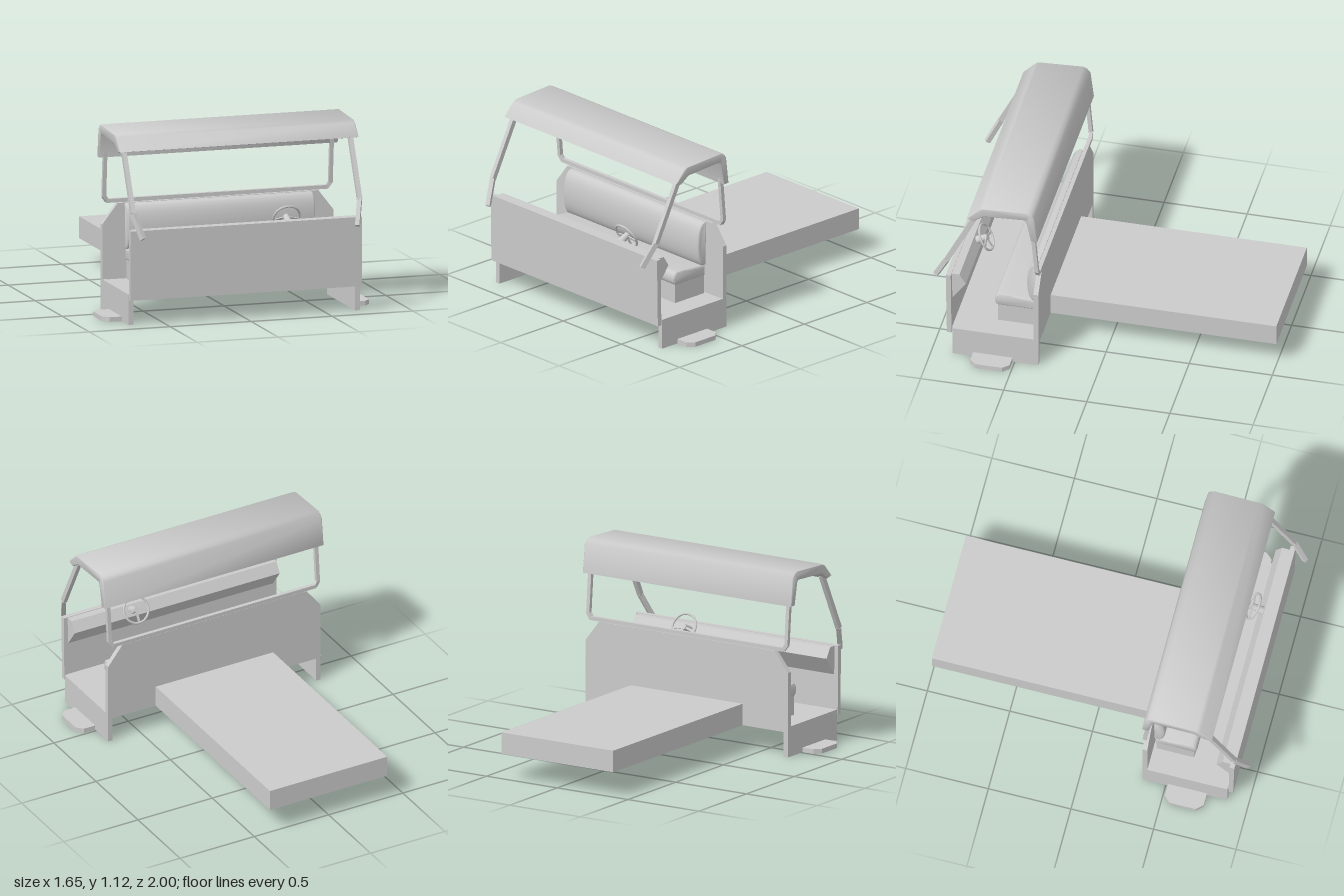
import * as THREE from 'three';
import { toCreasedNormals } from 'three/addons/utils/BufferGeometryUtils.js';

const grey = new THREE.MeshStandardMaterial({ color: 0xcccccc, side: THREE.DoubleSide });

export function createModel() {
  const model = new THREE.Group();

  const add = (name, geometry, parent = model) => {
    const mesh = new THREE.Mesh(geometry, grey);
    mesh.name = name;
    parent.add(mesh);
    return mesh;
  };

  // Box from its minimum and maximum corners
  const box = (name, [x0, y0, z0], [x1, y1, z1], parent) =>
    add(name, new THREE.BoxGeometry(x1 - x0, y1 - y0, z1 - z0), parent)
      .position.set((x0 + x1) / 2, (y0 + y1) / 2, (z0 + z1) / 2);

  const shapeOf = (points) => new THREE.Shape(points.map(([a, b]) => new THREE.Vector2(a, b)));

  // Side profile of [z, y] points, stretched across the width
  const across = (name, shape, halfWidth, bevel = 0, crease = 0.5) => {
    const depth = 2 * (halfWidth - bevel);
    const g = new THREE.ExtrudeGeometry(shape, {
      depth, curveSegments: 10, bevelEnabled: bevel > 0,
      bevelSize: bevel, bevelThickness: bevel, bevelOffset: -bevel, bevelSegments: 3,
    });
    g.translate(0, 0, -depth / 2).rotateY(-Math.PI / 2);
    return add(name, toCreasedNormals(g, crease));
  };

  // Square tube following a list of points
  const frame = (name, points, width, thickness) => {
    const group = new THREE.Group();
    group.name = name;
    model.add(group);
    for (let i = 0; i < points.length - 1; i++) {
      const a = new THREE.Vector3(...points[i]);
      const b = new THREE.Vector3(...points[i + 1]);
      const bar = add('tubeSection', new THREE.BoxGeometry(width, thickness, a.distanceTo(b) + 0.006), group);
      bar.position.copy(a).add(b).multiplyScalar(0.5);
      bar.lookAt(b);
    }
  };

  // Cargo bed, floor and front panel
  box('cargoBed', [-0.395, 0.15, -1], [0.395, 0.28, 0.36]);
  box('floor', [-0.7, 0.15, 0.36], [0.7, 0.18, 0.89]);
  across('frontPanel', shapeOf([[0.88, 0.15], [0.908, 0.15], [0.915, 0.565], [0.885, 0.565]]), 0.715);

  // Rear wall with cut upper corners
  const wall = new THREE.ExtrudeGeometry(shapeOf([
    [-0.715, 0.15], [0.715, 0.15], [0.715, 0.51], [0.62, 0.632], [-0.62, 0.632], [-0.715, 0.51],
  ]), { depth: 0.03, bevelEnabled: false });
  add('rearWall', wall.translate(0, 0, 0.358));

  // Dashboard
  across('dashboard', shapeOf([
    [0.885, 0.562], [0.838, 0.562], [0.8, 0.5], [0.88, 0.39],
  ]), 0.69);

  // Seat
  box('seatBase', [-0.57, 0.18, 0.405], [0.57, 0.3, 0.635]);
  const cushion = new THREE.Shape();
  cushion.moveTo(0.4, 0.295);
  cushion.lineTo(0.63, 0.295);
  cushion.bezierCurveTo(0.66, 0.295, 0.662, 0.372, 0.625, 0.374);
  cushion.bezierCurveTo(0.57, 0.376, 0.48, 0.368, 0.415, 0.362);
  cushion.quadraticCurveTo(0.4, 0.36, 0.4, 0.345);
  across('seatCushion', cushion, 0.58, 0.012, 0.8);
  const back = new THREE.Shape();
  back.moveTo(0.395, 0.36);
  back.lineTo(0.425, 0.36);
  back.bezierCurveTo(0.468, 0.39, 0.47, 0.56, 0.435, 0.61);
  back.quadraticCurveTo(0.42, 0.632, 0.39, 0.63);
  across('seatBack', back, 0.58, 0.01, 0.8);

  // Curved roof shell
  across('roof', shapeOf([
    [0.785, 1.015], [0.715, 1.09], [0.69, 1.103], [0.425, 1.116], [0.4, 1.105], [0.38, 1.08],
    [0.36, 0.912], [0.398, 0.912], [0.425, 1.045], [0.435, 1.06], [0.68, 1.046], [0.74, 1.005],
  ]), 0.738, 0.006, 0.9);

  // Rear roof frame: two posts joined by a low crossbar
  const half = [[0.7, 0.94, 0.393], [0.7, 0.675, 0.37], [0.68, 0.646, 0.367]];
  const mirrored = half.map(([x, y, z]) => [-x, y, z]).reverse();
  frame('rearFrame', [...half, ...mirrored], 0.023, 0.023);

  for (const [side, s] of [['left', 1], ['right', -1]]) {
    // Skirt below the floor
    const xs = [0.685 * s, 0.715 * s].sort((a, b) => a - b);
    box(side + 'Skirt', [xs[0], 0, 0.358], [xs[1], 0.182, 0.873]);

    // Step plate with cut corners
    const step = new THREE.ExtrudeGeometry(shapeOf([
      [0.7, -0.75], [0.79, -0.75], [0.826, -0.71], [0.826, -0.55], [0.79, -0.513], [0.7, -0.513],
    ].map(([x, y]) => [x * s, y])), { depth: 0.028, bevelEnabled: false });
    add(side + 'Step', step.rotateX(-Math.PI / 2));

    // Front roof post, bent inward at its foot
    frame(side + 'FrontPost', [
      [0.7 * s, 1.02, 0.735], [0.7 * s, 0.67, 0.911], [0.663 * s, 0.53, 0.983],
    ], 0.026, 0.03);
  }

  // Steering wheel: rim, hub, three spokes and a column
  const steering = new THREE.Group();
  steering.name = 'steeringWheel';
  steering.position.set(0.295, 0.562, 0.768);
  steering.rotation.x = Math.PI + 0.5;
  model.add(steering);
  add('rim', new THREE.TorusGeometry(0.08, 0.007, 8, 32), steering);
  add('hub', new THREE.CylinderGeometry(0.018, 0.018, 0.02, 16).rotateX(Math.PI / 2), steering);
  for (const angle of [0.25, Math.PI / 2, Math.PI - 0.25]) {
    const spoke = new THREE.BoxGeometry(0.07, 0.013, 0.007).translate(0.043, 0, 0);
    add('spoke', spoke.rotateZ(angle), steering);
  }
  const column = new THREE.CylinderGeometry(0.018, 0.028, 0.09, 16).rotateX(Math.PI / 2);
  add('column', column.translate(0, 0, -0.045), steering);

  return model;
}
